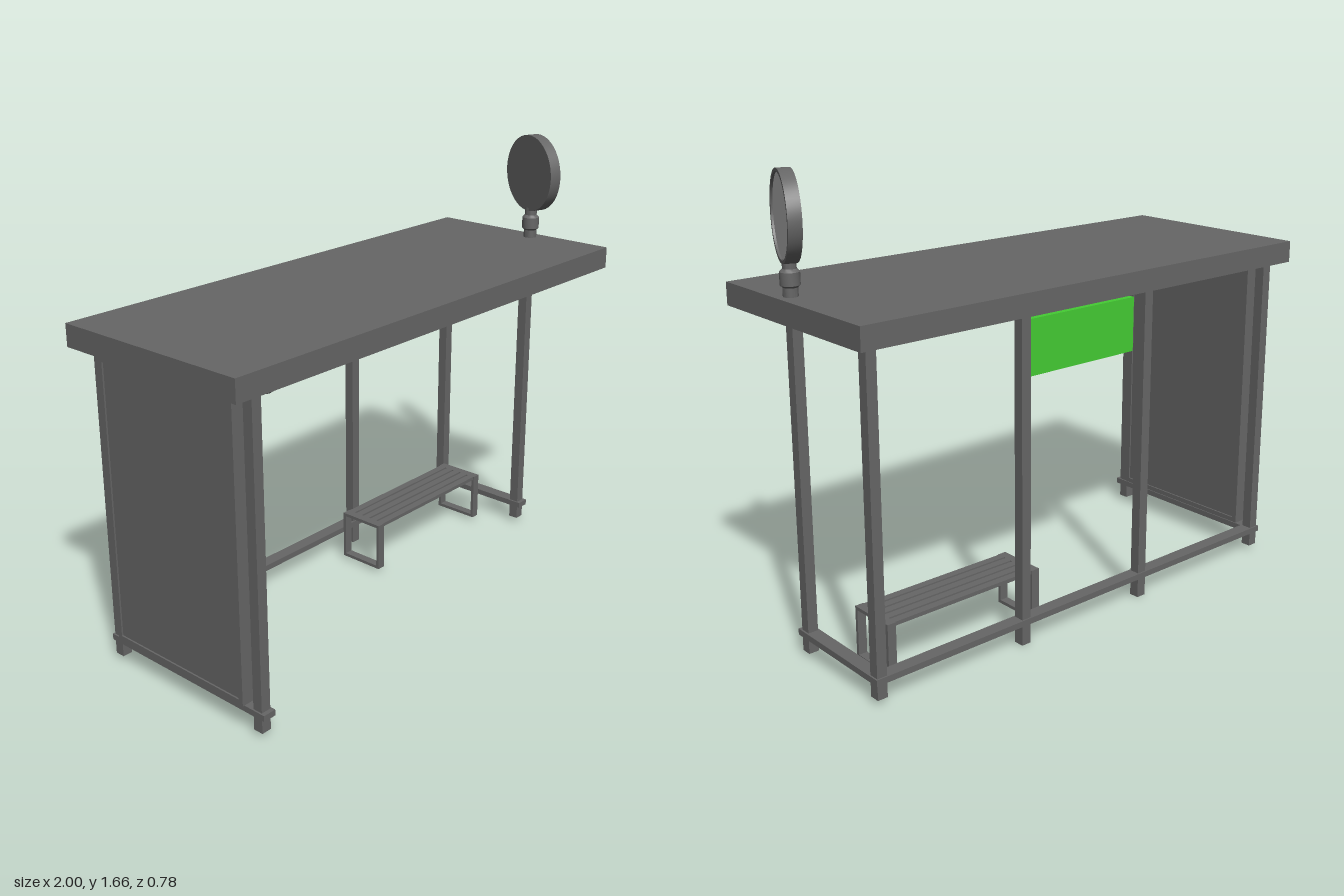
import * as THREE from 'three';
import { toCreasedNormals } from 'three/addons/utils/BufferGeometryUtils.js';

export function createModel() {
  const model = new THREE.Group();
  const paint = (name, color) => {
    const m = new THREE.MeshStandardMaterial({ color });
    m.name = name;
    return m;
  };
  const steel = paint('darkGrey', 0x666666);
  const green = paint('green', 0x44cc33);
  const pale = paint('paleGrey', 0xb8b8b8);

  const add = (name, geometry, material, parent = model) => {
    const mesh = new THREE.Mesh(geometry, material);
    mesh.name = name;
    parent.add(mesh);
    return mesh;
  };
  // Box given by its extents on each axis
  const box = (name, [x0, x1], [y0, y1], [z0, z1], material = steel, parent = model) => {
    const mesh = add(name, new THREE.BoxGeometry(x1 - x0, y1 - y0, z1 - z0), material, parent);
    mesh.position.set((x0 + x1) / 2, (y0 + y1) / 2, (z0 + z1) / 2);
    return mesh;
  };
  const group = (name) => {
    const g = new THREE.Group();
    g.name = name;
    model.add(g);
    return g;
  };
  const lathe = (points, segments = 32) => toCreasedNormals(
    new THREE.LatheGeometry(points.map(([r, y]) => new THREE.Vector2(r, y)), segments), 0.6);
  // Rectangular loop with a rectangular hole, extruded along z
  const frame = (w, h, border, depth) => {
    const rect = (Type, a, b) => new Type([[-a, -b], [a, -b], [a, b], [-a, b]].map(p => new THREE.Vector2(...p)));
    const shape = rect(THREE.Shape, w / 2, h / 2);
    shape.holes.push(rect(THREE.Path, w / 2 - border, h / 2 - border));
    return new THREE.ExtrudeGeometry(shape, { depth, bevelEnabled: false }).translate(0, 0, -depth / 2);
  };

  // Roof slab
  box('roof', [-1, 0.97], [1.175, 1.255], [-0.39, 0.39]);

  // Posts: x, z, foot height
  const posts = [
    [-0.9, 0.35, 0.02], [-0.9, -0.345, 0.02], [0.918, -0.345, 0.02],
    [0.918, 0.058, 0.02], [-0.256, -0.345, 0], [0.313, -0.345, 0],
  ];
  for (const [x, z, foot] of posts) {
    box('post', [x - 0.019, x + 0.019], [foot, 1.175], [z - 0.019, z + 0.019]);
  }

  // Low rails along the back and both ends
  box('backRail', [-0.925, 0.943], [0.075, 0.097], [-0.37, -0.32]);
  box('rightRail', [-0.925, -0.875], [0.075, 0.097], [-0.32, 0.385]);
  box('leftRail', [0.893, 0.943], [0.075, 0.097], [-0.32, 0.092]);

  // Poster case closing one end, with a shallow frame on both faces
  const poster = group('posterCase');
  box('posterPanel', [-0.939, -0.861], [0.12, 1.14], [-0.3, 0.3], steel, poster);
  const posterFrame = add('posterFrame', frame(0.62, 1.04, 0.018, 0.09), steel, poster);
  posterFrame.rotation.y = Math.PI / 2;
  posterFrame.position.set(-0.9, 0.63, 0);

  // Green display box between the back posts
  const sign = group('displaySign');
  box('signBody', [-0.22, 0.28], [0.95, 1.146], [-0.325, -0.288], green, sign);
  const signFrame = add('signFrame', frame(0.5, 0.196, 0.024, 0.008), green, sign);
  signFrame.position.set(0.03, 1.048, -0.284);
  box('signScreen', [-0.196, 0.256], [0.974, 1.122], [-0.288, -0.285], steel, sign);
  for (const x of [-0.065, 0.115]) {
    box('signCatch', [x - 0.004, x + 0.004], [0.953, 0.963], [-0.28, -0.276], steel, sign);
  }

  // Dome lamp under the roof
  const dome = add('domeLamp', lathe([
    [0, -0.055], [0.012, -0.053], [0.022, -0.046], [0.029, -0.034], [0.032, -0.02], [0.034, -0.018], [0.034, 0],
  ], 20), steel);
  dome.position.set(-0.772, 1.175, 0.282);

  // Bench: two loop legs and slats
  const bench = group('bench');
  for (const x of [0.181, 0.804]) {
    const leg = add('benchLeg', frame(0.186, 0.19, 0.012, 0.033), steel, bench);
    leg.rotation.y = Math.PI / 2;
    leg.position.set(x, 0.11, -0.168);
  }
  for (let i = 0; i < 5; i++) {
    const z = -0.168 + (i - 2) * 0.0375;
    box('benchSlat', [0.197, 0.788], [0.191, 0.205], [z - 0.0145, z + 0.0145], steel, bench);
  }

  // Round sign on a short stem above the roof
  const stem = add('stem', lathe([
    [0.025, 1.25], [0.025, 1.285], [0.033, 1.292], [0.033, 1.335], [0.023, 1.345], [0.023, 1.375],
  ], 20), steel);
  stem.position.set(0.92, 0, 0.066);
  const disc = group('roundSign');
  add('discRim', lathe([
    [0, -0.0225], [0.148, -0.0225], [0.148, 0.0225], [0.137, 0.0225], [0.137, 0.014],
  ], 40), steel, disc);
  add('discFace', new THREE.CircleGeometry(0.137, 40).rotateX(-Math.PI / 2).translate(0, 0.015, 0), pale, disc);
  disc.position.set(0.923, 1.51, 0.066);
  disc.quaternion.setFromUnitVectors(
    new THREE.Vector3(0, 1, 0), new THREE.Vector3(0.94, 0, 0.35).normalize());

  return model;
}
